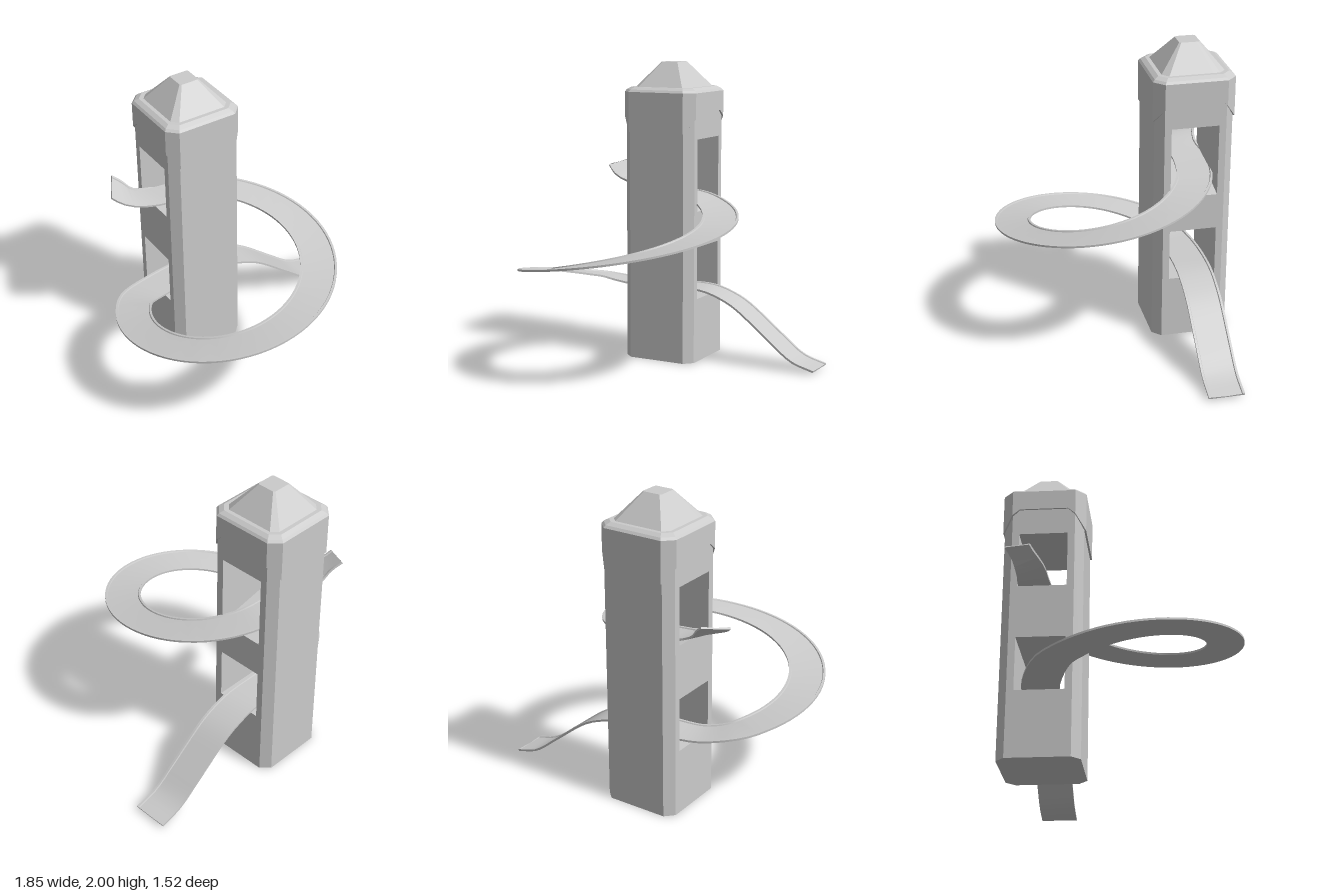
import * as THREE from 'three';
import { toCreasedNormals } from 'three/addons/utils/BufferGeometryUtils.js';

const grey = new THREE.MeshStandardMaterial({ color: 0xcccccc });

function mesh(name, geometry, parent) {
  const m = new THREE.Mesh(geometry, grey);
  m.name = name;
  parent.add(m);
  return m;
}

// Skin over a series of closed loops (counter-clockwise seen from the far end)
function loft(loops, crease) {
  const n = loops[0].length, pos = loops.flat().flatMap(p => [p.x, p.y, p.z]), idx = [];
  for (let k = 0; k < loops.length - 1; k++) {
    for (let i = 0; i < n; i++) {
      const a = k * n + i, b = k * n + (i + 1) % n;
      idx.push(a, b, b + n, a, b + n, a + n);
    }
  }
  const last = loops.length - 1;
  for (const [k, flip] of [[0, true], [last, false]]) {
    const c = loops[k].reduce((s, p) => s.add(p), new THREE.Vector3()).divideScalar(n);
    const ci = pos.length / 3;
    pos.push(c.x, c.y, c.z);
    for (let i = 0; i < n; i++) {
      const a = k * n + i, b = k * n + (i + 1) % n;
      if (flip) idx.push(ci, b, a); else idx.push(ci, a, b);
    }
  }
  const g = new THREE.BufferGeometry();
  g.setAttribute('position', new THREE.Float32BufferAttribute(pos, 3));
  g.setIndex(idx);
  return toCreasedNormals(g.toNonIndexed(), crease);
}

const shapeOf = pts => new THREE.Shape(pts.map(p => new THREE.Vector2(...p)));

// Chamfered square ring; ys = heights at the end faces, chamfer and side faces
function ring(h, c, ys, e = (h - c) * 0.75) {
  const [y0, y1, y2] = Array.isArray(ys) ? ys : [ys, ys, ys];
  const q = [[h, y2, e], [h, y1, h - c], [h - c, y0, h]];
  const V = (sx, sz) => ([x, y, z]) => new THREE.Vector3(x * sx, y, z * sz);
  return [
    ...q.map(V(1, -1)), ...[...q].reverse().map(V(-1, -1)),
    ...q.map(V(-1, 1)), ...[...q].reverse().map(V(1, 1)),
  ];
}

function buildTower() {
  const tower = new THREE.Group();
  tower.name = 'tower';
  const H = 0.255, C = 0.055, T = 0.155;

  // front and back walls with chamfered corners
  for (const side of ['front', 'back']) {
    const g = new THREE.ExtrudeGeometry(
      shapeOf([[-H, -T], [-H, -H + C], [-H + C, -H], [H - C, -H], [H, -H + C], [H, -T]]),
      { depth: 1.7, bevelEnabled: false });
    g.rotateX(-Math.PI / 2);
    if (side === 'back') g.rotateY(Math.PI);
    mesh(side + 'Wall', g, tower);
  }

  // core blocks between the walls, leaving two openings for the slide
  const blocks = {
    base: [[-H, 0], [H, 0], [H, 0.43], [-H, 0.43]],
    middleFloor: [[-H, 0.78], [H, 0.78], [H, 1.02], [-H, 1.13]],
    topBlock: [[-H, 1.5], [H, 1.5], [H, 1.7], [-H, 1.7]],
  };
  for (const [name, pts] of Object.entries(blocks)) {
    const g = new THREE.ExtrudeGeometry(shapeOf(pts), { depth: 2 * T, bevelEnabled: false });
    mesh(name, g.translate(0, 0, -T), tower);
  }

  // cap with raised sides, bevelled shoulder and truncated pyramid roof
  const lip = [1.54, 1.635, 1.675];
  mesh('cap', loft([
    ring(0.25, 0.055, lip, 0.155),
    ring(0.267, 0.065, lip, 0.155),
    ring(0.267, 0.065, 1.805, 0.155),
    ring(0.255, 0.06, 1.82),
    ring(0.228, 0.05, 1.836),
    ring(0.203, 0.04, 1.836),
    ring(0.066, 0.01, 2.0),
  ], 0.3), tower);
  tower.position.set(-0.145, 0, -0.497);
  return tower;
}

function buildSlide() {
  // centre line: entry curl, one turn of spiral, then the run-out
  const pts = [[-0.635, 1.29, -0.625], [-0.53, 1.21, -0.565], [-0.41, 1.165, -0.55], [-0.2, 1.135, -0.56]];
  for (let a = -70; a <= 226; a += 14.75) {
    const r = a * Math.PI / 180;
    pts.push([-0.203 + 0.6 * Math.cos(r), 0.97 - 0.18 * a / 90, 0.035 + 0.6 * Math.sin(r)]);
  }
  pts.push([-0.44, 0.482, -0.475], [-0.2, 0.48, -0.51], [0.11, 0.475, -0.515], [0.25, 0.435, -0.515],
    [0.36, 0.38, -0.515], [0.6, 0.195, -0.515], [0.77, 0.068, -0.515], [0.925, 0.02, -0.515]);
  const curve = new THREE.CatmullRomCurve3(pts.map(p => new THREE.Vector3(...p)));

  // shallow channel section with a small lip on each edge
  const N = 110, up = new THREE.Vector3(0, 1, 0), loops = [];
  for (let i = 0; i <= N; i++) {
    const t = i / N, p = curve.getPointAt(t), tan = curve.getTangentAt(t);
    const s = up.clone().cross(tan).normalize();
    const start = Math.max(0, 1 - t / 0.07);
    s.y += 0.2 * start;
    s.normalize();
    const u = tan.clone().cross(s).normalize();
    const w = 0.117 - 0.018 * Math.min(1, start * 3);
    const section = [[-w, -0.006], [w, -0.006], [w, 0.007], [w - 0.014, 0.007],
      [w - 0.018, 0], [-w + 0.018, 0], [-w + 0.014, 0.007], [-w, 0.007]];
    loops.push(section.map(([a, b]) => p.clone().addScaledVector(s, a).addScaledVector(u, b)));
  }
  return loft(loops, 0.5);
}

export function createModel() {
  const model = new THREE.Group();
  model.name = 'slideTower';
  model.add(buildTower());
  mesh('spiralSlide', buildSlide(), model);
  return model;
}
